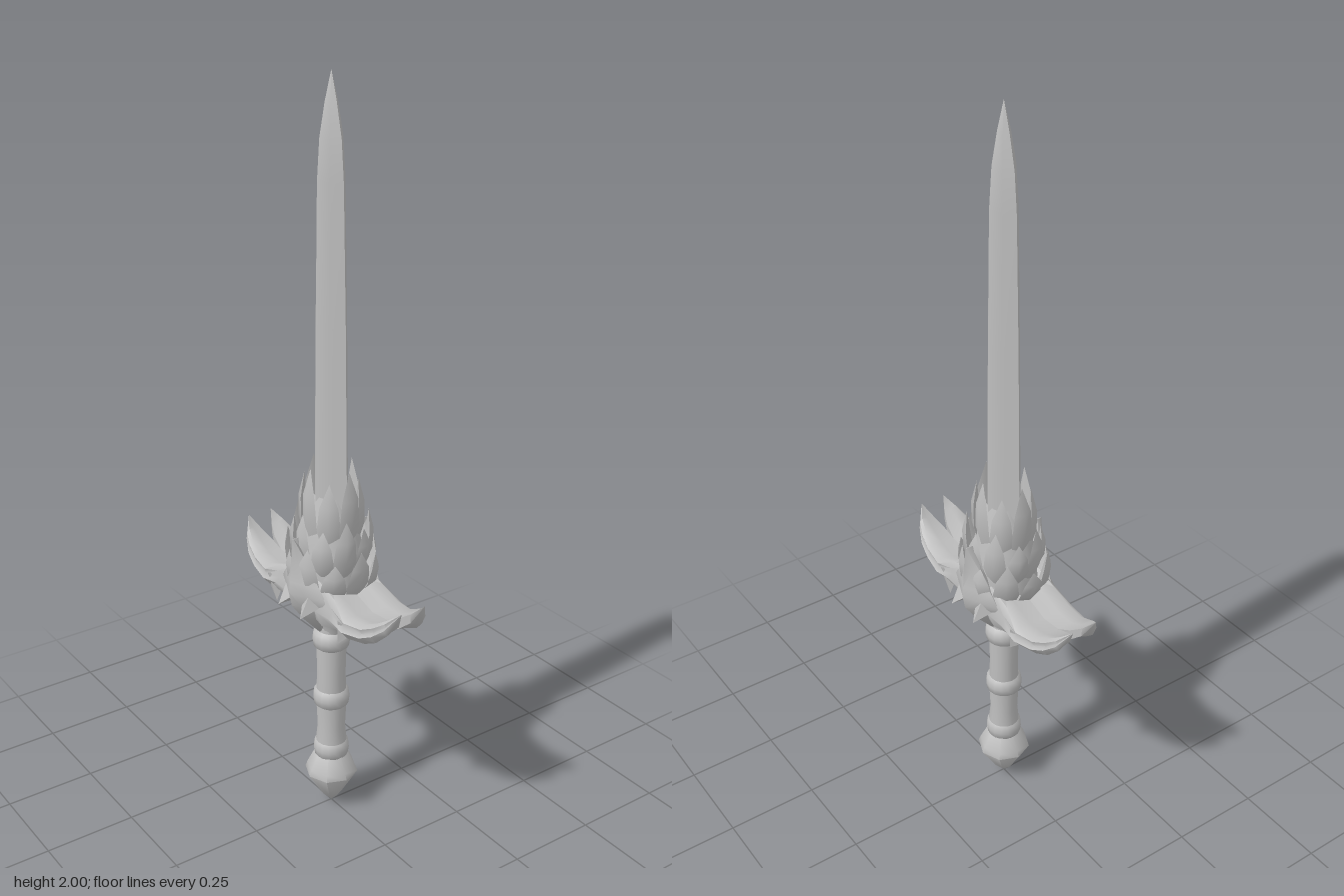
import * as THREE from 'three';
import { toCreasedNormals } from 'three/addons/utils/BufferGeometryUtils.js';

const steel = new THREE.MeshStandardMaterial({ color: 0xbebebe });
steel.name = 'steel grey';

// Skin closed rings of [x, y, z] points, cap both ends, and keep faces outward.
function loft(rings, crease) {
  const n = rings[0].length, tris = [];
  const tri = (a, b, c) => tris.push([a, b, c]);
  for (let i = 0; i < rings.length - 1; i++) {
    for (let j = 0; j < n; j++) {
      const k = (j + 1) % n, A = rings[i], B = rings[i + 1];
      tri(A[j], B[j], B[k]);
      tri(A[j], B[k], A[k]);
    }
  }
  const last = rings[rings.length - 1];
  for (let j = 1; j < n - 1; j++) {
    tri(rings[0][0], rings[0][j], rings[0][j + 1]);
    tri(last[0], last[j + 1], last[j]);
  }
  let volume = 0;
  for (const [a, b, c] of tris) {
    volume += a[0] * (b[1] * c[2] - b[2] * c[1]) + a[1] * (b[2] * c[0] - b[0] * c[2]) + a[2] * (b[0] * c[1] - b[1] * c[0]);
  }
  const out = tris.map(t => (volume < 0 ? [t[0], t[2], t[1]] : t)).flat(2);
  const g = new THREE.BufferGeometry();
  g.setAttribute('position', new THREE.Float32BufferAttribute(out, 3));
  return toCreasedNormals(g, crease);
}

function add(group, name, geometry) {
  const m = new THREE.Mesh(geometry, steel);
  m.name = name;
  group.add(m);
  return m;
}

const lathe = (profile, sides, crease = 1.2) =>
  toCreasedNormals(new THREE.LatheGeometry(profile.map(([r, y]) => new THREE.Vector2(r, y)), sides), crease);

// Pointed scale leaning from one ellipse around the blade to another.
function scale(angle, from, to, w, t) {
  const c = Math.cos(angle), s = Math.sin(angle);
  const stations = [[0, 0.7, 0.8, 0], [0.3, 1, 1, 0.010], [0.65, 0.8, 0.8, 0.009], [1, 0.02, 0.02, 0]];
  return loft(stations.map(([u, kw, kt, bulge]) => {
    const a = from[0] + (to[0] - from[0]) * u + bulge;
    const b = from[1] + (to[1] - from[1]) * u + bulge;
    const y = from[2] + (to[2] - from[2]) * u;
    const at = (side, outw) => [a * c - s * side * w * kw + c * outw * t * kt, y, b * s + c * side * w * kw + s * outw * t * kt];
    return [at(1, 0), at(0, 1), at(-1, 0), at(0, -1)];
  }), 1.0);
}

// Four-sided thorn from a base point to a tip.
function thorn(base, tip, r) {
  const dir = new THREE.Vector3(...tip).sub(new THREE.Vector3(...base));
  const g = toCreasedNormals(new THREE.ConeGeometry(r, dir.length(), 4), 0.6);
  g.translate(0, dir.length() / 2, 0);
  g.applyQuaternion(new THREE.Quaternion().setFromUnitVectors(new THREE.Vector3(0, 1, 0), dir.clone().normalize()));
  return g.translate(...base);
}

export function createModel() {
  const sword = new THREE.Group();
  sword.name = 'sword';

  // Blade: softly ridged rhombic section that narrows to the point
  const bladeStations = [[0.62, 0.067, 0.049], [1.0, 0.067, 0.049], [1.4, 0.06, 0.046], [1.75, 0.05, 0.041],
    [1.85, 0.041, 0.034], [1.93, 0.022, 0.019], [2.0, 0.0005, 0.0005]];
  const bladeSection = [[1, 0], [0.5, 0.56], [0, 1], [-0.5, 0.56], [-1, 0], [-0.5, -0.56], [0, -1], [0.5, -0.56]];
  add(sword, 'blade', loft(bladeStations.map(([y, a, b]) => bladeSection.map(([x, z]) => [x * a, y, z * b])), 1.35));

  // Grip with three raised bands
  add(sword, 'grip', lathe([[0.044, 0.15], [0.043, 0.2], [0.038, 0.25], [0.042, 0.34], [0.039, 0.42], [0.041, 0.5], [0.037, 0.58]], 16));
  for (const [y, r] of [[0.182, 0.049], [0.345, 0.05], [0.525, 0.051]]) {
    add(sword, 'gripBand', lathe([[0.038, y - 0.028], [r - 0.003, y - 0.02], [r, y], [r - 0.003, y + 0.02], [0.038, y + 0.028]], 16));
  }

  // Faceted pommel
  add(sword, 'pommel', lathe([[0, 0], [0.028, 0.03], [0.073, 0.105], [0.067, 0.122], [0.046, 0.165], [0, 0.18]], 8, 0.9));

  // Collar under the blade
  const collar = add(sword, 'collar', lathe([[0.036, 0.53], [0.042, 0.57], [0.062, 0.61], [0.088, 0.66], [0.096, 0.72], [0.09, 0.79], [0.072, 0.88], [0.05, 0.95]], 16));
  collar.scale.z = 0.9;

  // Tiers of scales wrapped around the blade root
  const tiers = [
    { n: 10, from: [0.096, 0.086, 0.69], to: [0.132, 0.108, 0.83], w: 0.034, t: 0.013 },
    { n: 10, from: [0.086, 0.074, 0.75], to: [0.11, 0.088, 0.91], w: 0.031, t: 0.013 },
    { n: 8, from: [0.066, 0.055, 0.82], to: [0.078, 0.064, 1.03], w: 0.031, t: 0.013 },
  ];
  tiers.forEach((k, row) => {
    for (let i = 0; i < k.n; i++) {
      const angle = (i + (row === 1 ? 0.5 : 0)) / k.n * Math.PI * 2;
      const drop = i % 2 ? 0.03 : 0;
      add(sword, 'scale', scale(angle, k.from, [k.to[0], k.to[1], k.to[2] - drop], k.w, k.t));
    }
  });

  // Guard: each wing is two grooved prongs that part near the tip
  // stations: x, top, bottom, outer z, inner z
  const wing = [[0, 0.74, 0.62, 0.085, 0], [0.06, 0.735, 0.61, 0.093, 0], [0.12, 0.715, 0.63, 0.094, 0],
    [0.18, 0.692, 0.63, 0.097, 0], [0.24, 0.697, 0.642, 0.088, 0], [0.28, 0.717, 0.662, 0.08, 0.006],
    [0.312, 0.737, 0.693, 0.065, 0.018], [0.343, 0.762, 0.758, 0.037, 0.035]];
  // section: fraction across z, fraction down from the top
  const wingSection = [[0, 0.15], [0.45, 0.1], [0.8, 0], [0.95, 0.18], [0.9, 0.42], [1, 0.6], [0.78, 1], [0.4, 0.8], [0, 0.7]];
  for (const sx of [1, -1]) {
    for (const sz of [1, -1]) {
      add(sword, 'guardProng', loft(wing.map(([x, top, bottom, zo, zi]) =>
        wingSection.map(([u, v]) => [sx * x, top + (bottom - top) * v, sz * (zi + (zo - zi) * u)])), 1.1));
      // Hanging barb under the wing
      add(sword, 'guardBarb', thorn([sx * 0.168, 0.665, sz * 0.06], [sx * 0.14, 0.598, sz * 0.08], 0.038));
      // Horn beside the crest
      add(sword, 'crestHorn', thorn([sx * 0.04, 0.69, sz * 0.075], [sx * 0.05, 0.645, sz * 0.134], 0.042));
    }
  }

  // Crest on the front and back: ridged diamond that flares into the wings
  // stations: y, half width, ridge z, edge z
  const crest = [[0.555, 0.004, 0.04, 0.036], [0.61, 0.036, 0.09, 0.06], [0.66, 0.065, 0.125, 0.085],
    [0.7, 0.1, 0.132, 0.086], [0.73, 0.074, 0.13, 0.09], [0.78, 0.036, 0.127, 0.096], [0.85, 0.001, 0.121, 0.118]];
  for (const sz of [1, -1]) {
    add(sword, 'crest', loft(crest.map(([y, w, ridge, edge]) => [
      [w, y, sz * edge], [w * 0.4, y, sz * (edge + (ridge - edge) * 0.6)], [0, y, sz * ridge],
      [-w * 0.4, y, sz * (edge + (ridge - edge) * 0.6)], [-w, y, sz * edge], [0, y, sz * (edge - 0.03)]]), 1.0));
  }
  return sword;
}
